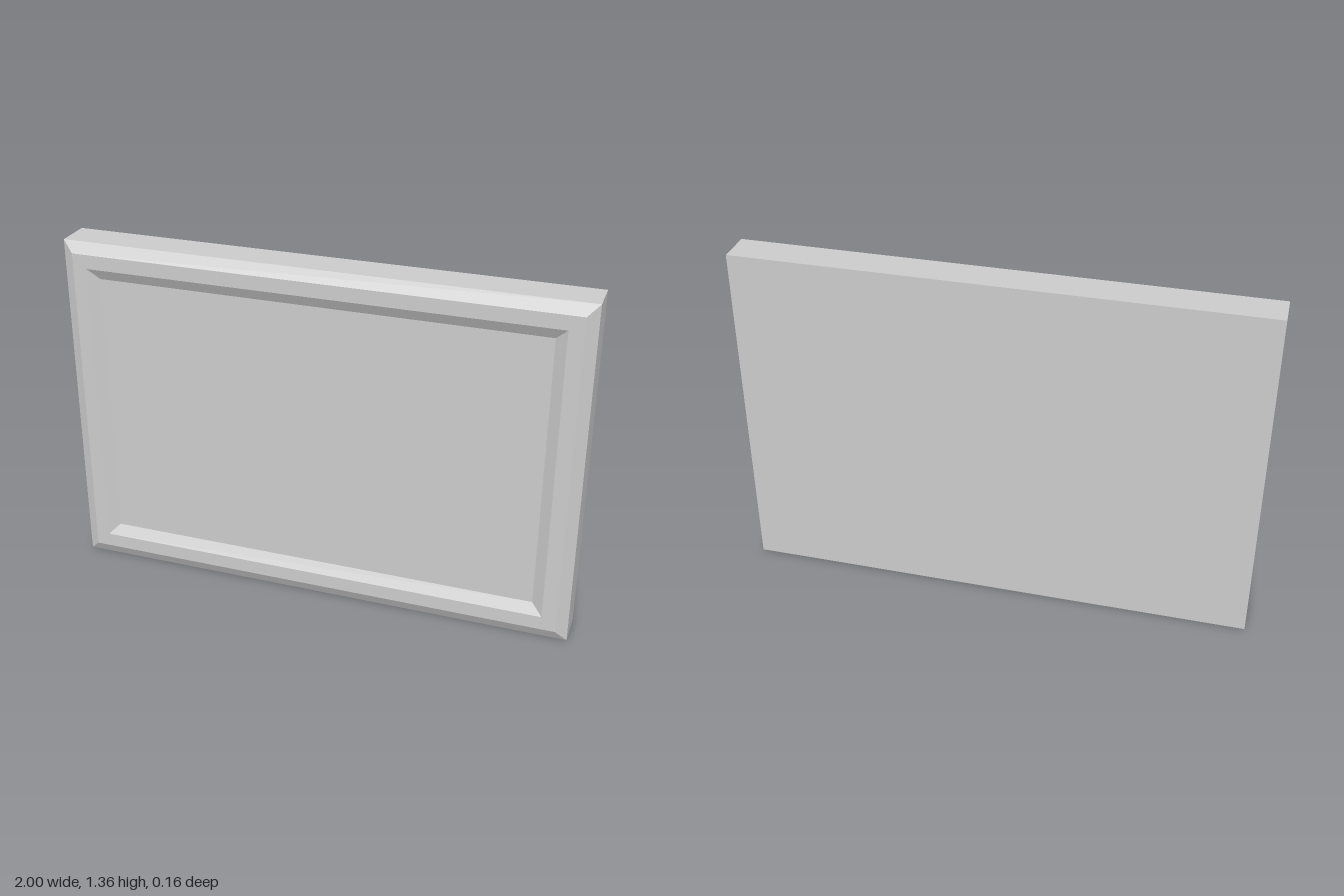
import * as THREE from 'three';

const WIDTH = 2, HEIGHT = 1.356;
const BACK_Z = -0.082, PANEL_Z = 0.058, RIM_Z = 0.082;

// Frame profile, from the back edge round to the panel: [inset from outer edge, z]
const PROFILE = [[0, BACK_Z], [0, PANEL_Z], [0.043, RIM_Z], [0.098, RIM_Z], [0.141, PANEL_Z]];

// Four corners of a rectangle, counter-clockwise seen from the front
function corners([inset, z]) {
  const x = WIDTH / 2 - inset;
  return [[-x, inset, z], [x, inset, z], [x, HEIGHT - inset, z], [-x, HEIGHT - inset, z]];
}

// Mitred frame: joins each profile rectangle to the next with flat quads
function frameGeometry() {
  const positions = [];
  for (let i = 0; i < PROFILE.length - 1; i++) {
    const a = corners(PROFILE[i]), b = corners(PROFILE[i + 1]);
    for (let s = 0; s < 4; s++) {
      const t = (s + 1) % 4;
      positions.push(...a[s], ...a[t], ...b[t], ...a[s], ...b[t], ...b[s]);
    }
  }
  const geometry = new THREE.BufferGeometry();
  geometry.setAttribute('position', new THREE.Float32BufferAttribute(positions, 3));
  geometry.computeVertexNormals();
  return geometry;
}

export function createModel() {
  const group = new THREE.Group();
  group.name = 'pictureFrame';
  const material = new THREE.MeshStandardMaterial({ color: 0xcccccc, flatShading: true });

  const add = (name, geometry) => {
    const mesh = new THREE.Mesh(geometry, material);
    mesh.name = name;
    group.add(mesh);
    return mesh;
  };

  // Bevelled surround
  add('frame', frameGeometry());

  // Recessed picture surface
  const inset = PROFILE[PROFILE.length - 1][0];
  const panel = add('picturePanel', new THREE.PlaneGeometry(WIDTH - 2 * inset, HEIGHT - 2 * inset));
  panel.position.set(0, HEIGHT / 2, PANEL_Z);

  // Flat back
  const back = add('backBoard', new THREE.PlaneGeometry(WIDTH, HEIGHT));
  back.position.set(0, HEIGHT / 2, BACK_Z);
  back.rotation.y = Math.PI;

  return group;
}
